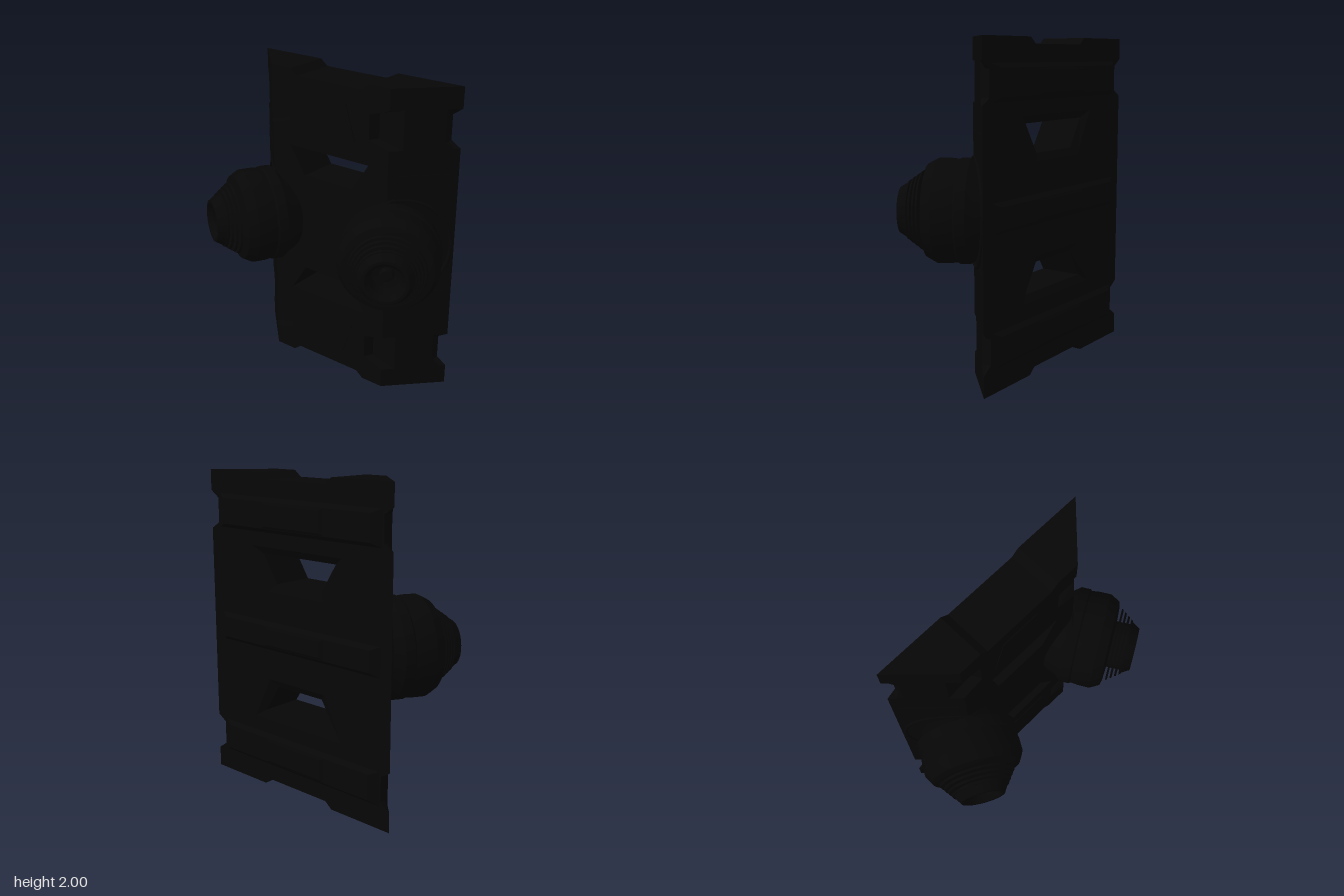
import * as THREE from 'three';
import { toCreasedNormals } from 'three/addons/utils/BufferGeometryUtils.js';

const V2 = (x, y) => new THREE.Vector2(x, y);

// Solid through matching sections, front to back: { z, loops: [outline ccw, ...holes cw] }
function loft(sections) {
  const pos = [];
  const put = (p, z) => pos.push(p.x, p.y, z);
  const cap = ({ loops, z }, flip) => {
    const pts = loops.flat();
    for (const [a, b, c] of THREE.ShapeUtils.triangulateShape(loops[0], loops.slice(1))) {
      for (const i of flip ? [c, b, a] : [a, b, c]) put(pts[i], z);
    }
  };
  cap(sections[0], false);
  cap(sections[sections.length - 1], true);
  for (let s = 1; s < sections.length; s++) {
    const front = sections[s - 1], back = sections[s];
    front.loops.forEach((f, k) => f.forEach((p, i) => {
      const j = (i + 1) % f.length, b = back.loops[k];
      put(b[i], back.z); put(b[j], back.z); put(f[j], front.z);
      put(b[i], back.z); put(f[j], front.z); put(p, front.z);
    }));
  }
  const g = new THREE.BufferGeometry();
  g.setAttribute('position', new THREE.Float32BufferAttribute(pos, 3));
  g.computeVertexNormals();
  return g;
}

// Counter-clockwise trapezoid given by half widths and heights
function trapezoid(wTop, wBottom, yTop, yBottom) {
  return [V2(-wBottom, yBottom), V2(wBottom, yBottom), V2(wTop, yTop), V2(-wTop, yTop)];
}

// Plate outline with half width w, cut in to half width n at the four side notches
function outline(w, n) {
  const half = [
    [0.24, 0.04], [0.29, 0], [w, 0], [w, 0.13], [n, 0.175], [n, 0.33], [w, 0.37],
    [w, 1.63], [n, 1.67], [n, 1.825], [w, 1.87], [w, 2], [0.29, 2], [0.24, 1.96],
  ].map(([x, y]) => V2(x, y));
  return [...half, ...half.map((p) => V2(-p.x, p.y)).reverse()];
}

// The two windows, grown by e at the flare
function windows(e) {
  return [
    trapezoid(0.3 + 1.5 * e, 0.185 + e, 1.51 + e, 1.33 - e),
    trapezoid(0.185 + e, 0.3 + 1.5 * e, 0.675 + e, 0.495 - e),
  ].map((t) => t.reverse());
}

export function createModel() {
  const model = new THREE.Group();
  const black = new THREE.MeshStandardMaterial({ color: 0x060606 });
  black.name = 'matte black';
  const add = (name, geo, parent = model) => {
    const mesh = new THREE.Mesh(geo, black);
    mesh.name = name;
    parent.add(mesh);
    return mesh;
  };

  // Main plate: sloped sides, shallow pockets in front, flange notches and window flares at the back
  add('plate', loft([
    [-0.04, 0.44, 0.3, 0],
    [-0.1, 0.5, 0.33, 0],
    [-0.1, 0.5, 0.5, 0],
    [-0.275, 0.675, 0.675, 0],
    [-0.31, 0.71, 0.675, 0],
    [-0.34, 0.74, 0.675, 0.045],
  ].map(([z, w, n, e]) => ({ z, loops: [outline(w, n), ...windows(e)] }))));

  // Raised trapezoid covers on the front
  for (const c of [trapezoid(0.13, 0.2, 1.86, 1.635), trapezoid(0.2, 0.13, 0.37, 0.15)]) {
    add('frontCover', loft([{ z: -0.036, loops: [c] }, { z: -0.045, loops: [c] }]));
  }

  // Chamfered bars across the back
  for (const [y, h] of [[0.25, 0.11], [1.005, 0.095], [1.75, 0.11]]) {
    const rect = (z, w, k) => ({ z, loops: [trapezoid(w, w, y + k, y - k)] });
    add('backBar', loft([rect(-0.335, 0.67, h), rect(-0.368, 0.6, h - 0.03)]));
    add('backBarCentre', loft([rect(-0.366, 0.26, h - 0.03), rect(-0.376, 0.22, h - 0.045)]));
  }

  // Pod profile along its axis, with the nozzle mouth at zero
  const profile = [
    [0, -0.62], [0.17, -0.6], [0.25, -0.53], [0.28, -0.46], [0.311, -0.42], [0.311, -0.36],
    [0.302, -0.35], [0.308, -0.3], [0.308, -0.225], [0.295, -0.2], [0.275, -0.165], [0.24, -0.155],
  ];
  for (let i = 0; i < 4; i++) {
    const t = -0.15 + i * 0.025, r = 0.235 - i * 0.018;
    profile.push([0.15, t], [0.15, t + 0.013], [r, t + 0.013], [r - 0.006, t + 0.025]);
  }
  profile.push([0.168, -0.05], [0.137, 0], [0.12, 0], [0.095, -0.03], [0.085, -0.1], [0.045, -0.11],
    [0.035, -0.08], [0, -0.075]);
  const podGeo = toCreasedNormals(new THREE.LatheGeometry(profile.map(([r, t]) => V2(r, t)), 40), 0.45);

  for (const s of [1, -1]) {
    const side = s > 0 ? 'left' : 'right';
    const pod = add(side + 'Pod', podGeo);
    pod.position.set(0.68 * s, 1.0, 0.31);
    pod.quaternion.setFromUnitVectors(new THREE.Vector3(0, 1, 0), new THREE.Vector3(0.5 * s, 0, Math.sqrt(0.75)));

    // Mounting ring on the sloped side
    const ring = add(side + 'PodMount', new THREE.TorusGeometry(0.32, 0.012, 8, 40));
    ring.position.set(0.5 * s, 1.0, -0.1);
    ring.rotation.y = s * Math.PI / 4;

    // Thin panels on the sloped sides
    for (const y of [0.61, 1.39]) {
      const panel = add(side + 'SidePanel', new THREE.BoxGeometry(0.34, 0.17, 0.009));
      panel.position.set(0.59 * s, y, -0.19);
      panel.rotation.y = s * Math.PI / 4;
    }
  }
  return model;
}
